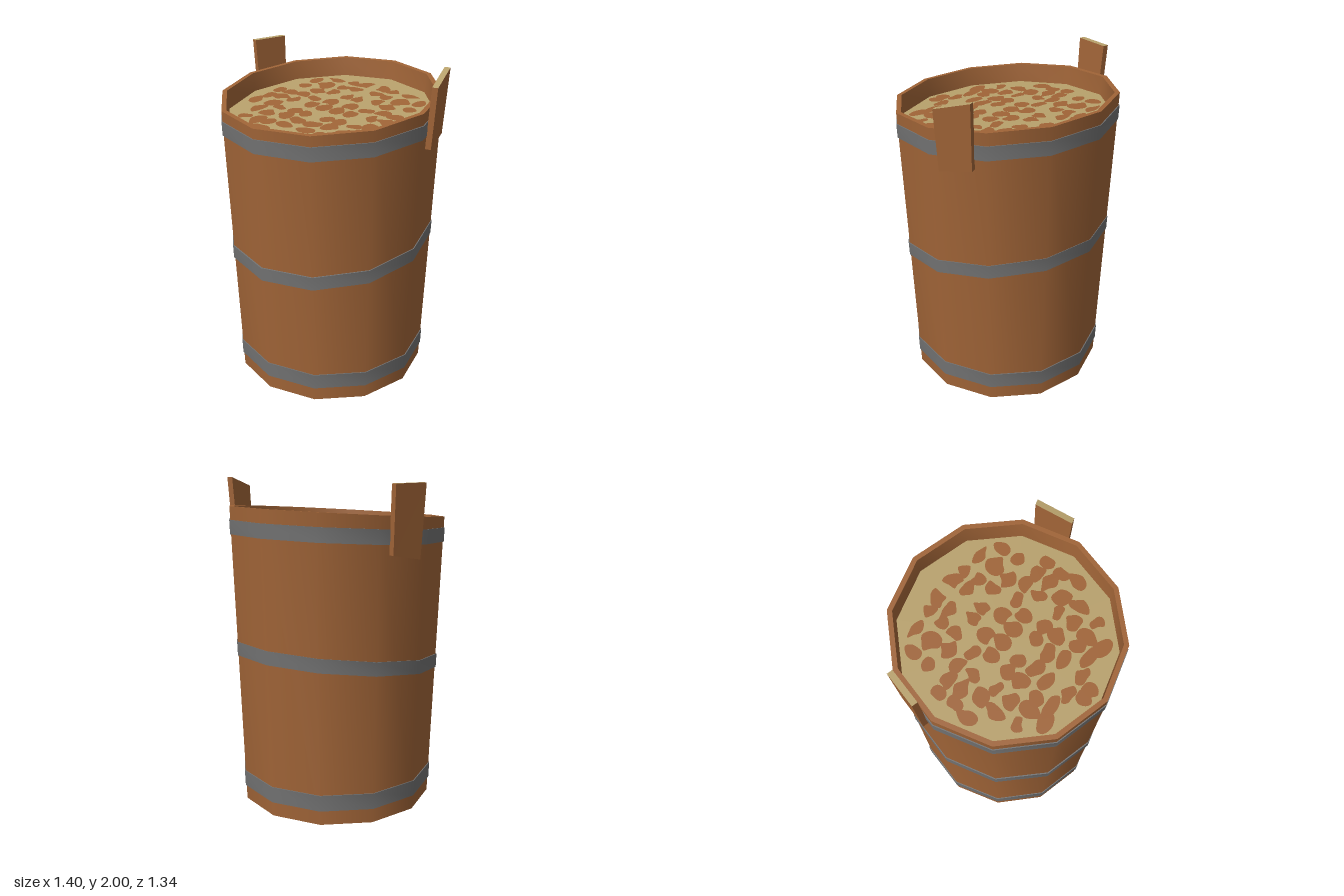
import * as THREE from 'three';
import { mergeGeometries, toCreasedNormals } from 'three/addons/utils/BufferGeometryUtils.js';

const SIDES = 12;
const RIM_TILT = 0.08;

function material(name, color) {
  const m = new THREE.MeshStandardMaterial({ color });
  m.name = name;
  return m;
}

function addMesh(parent, name, geometry, mat) {
  const mesh = new THREE.Mesh(geometry, mat);
  mesh.name = name;
  parent.add(mesh);
  return mesh;
}

// Move vertices above minY so that the back sits higher than the front.
function tilt(geometry, slope, minY = -1) {
  const p = geometry.attributes.position;
  for (let i = 0; i < p.count; i++) {
    if (p.getY(i) > minY) p.setY(i, p.getY(i) - slope * p.getZ(i));
  }
  geometry.computeVertexNormals();
  return geometry;
}

// Twelve-sided turned form: smooth around, sharp at the rims.
function turned(points, slope, minY) {
  const profile = points.map(([r, y]) => new THREE.Vector2(r, y));
  const g = tilt(new THREE.LatheGeometry(profile, SIDES), slope, minY);
  return toCreasedNormals(g, 0.7);
}

const wallRadius = (y) => 0.605 + 0.06 * y / 1.805;

// Hoop following the wall, slightly proud of it.
function hoop(y, height, slope) {
  const y0 = y - height / 2, y1 = y + height / 2, proud = 0.006;
  const r0 = wallRadius(y0), r1 = wallRadius(y1);
  return turned([[r0 - 0.01, y0], [r0 + proud, y0], [r1 + proud, y1], [r1 - 0.01, y1]], slope);
}

// Mirrored irregular blotches spread over the filling.
function blotches() {
  let seed = 7;
  const rand = () => (seed = (seed * 16807) % 2147483647) / 2147483647;
  const parts = [];
  const step = 0.112;
  for (let i = 0; i < 6; i++) {
    for (let j = -5; j <= 5; j++) {
      const cx = (i + 0.5) * step + (rand() - 0.5) * 0.05;
      const cy = j * step + (rand() - 0.5) * 0.05;
      const size = 0.038 + rand() * 0.014;
      const stretch = 0.8 + rand() * 0.5;
      const radii = Array.from({ length: 8 }, () => size * (0.7 + rand() * 0.65));
      if (Math.hypot(cx, cy) > 0.545) continue;
      for (const side of [1, -1]) {
        const ring = radii.map((r, k) => {
          const a = k / 8 * Math.PI * 2;
          return new THREE.Vector3(side * (cx + Math.cos(a) * r * stretch), cy + Math.sin(a) * r / stretch, 0);
        });
        const outline = new THREE.CatmullRomCurve3(ring, true).getPoints(24).slice(0, -1);
        const shape = new THREE.Shape(outline.map((v) => new THREE.Vector2(v.x, v.y)));
        parts.push(new THREE.ShapeGeometry(shape));
      }
    }
  }
  return mergeGeometries(parts).rotateX(-Math.PI / 2).translate(0, 1.693, 0);
}

// Leaning, slightly tapered board; its top is either slanted or level.
function handleBoard(side, topSlope) {
  const g = new THREE.BoxGeometry(1, 1, 1);
  const p = g.attributes.position;
  for (let i = 0; i < p.count; i++) {
    const top = p.getY(i) > 0;
    const outer = p.getX(i) * side > 0;
    const z = Math.sign(p.getZ(i)) * (top ? 0.11 : 0.1);
    const x = (top ? 0.66 : 0.635) + (outer ? 0.035 : 0);
    const y = top ? 2 - topSlope * (z + 0.11) : 1.59 - 0.18 * z;
    p.setXYZ(i, side * x, y, z);
  }
  g.computeVertexNormals();
  return g;
}

export function createModel() {
  const model = new THREE.Group();
  model.name = 'bucket';
  const wood = material('brown wood', 0xa06437);
  const iron = material('grey iron', 0x727272);
  const pale = material('pale tan', 0xb8a16c);

  // Body with base, wall, rim and inner floor
  addMesh(model, 'body', turned([
    [0, 0], [0.605, 0], [0.665, 1.805], [0.636, 1.805], [0.624, 1.65], [0, 1.65],
  ], RIM_TILT, 0.1), wood);

  // Hoops
  addMesh(model, 'lowerHoop', hoop(0.14, 0.1, 0), iron);
  addMesh(model, 'middleHoop', hoop(0.92, 0.085, 0.128), iron);
  addMesh(model, 'upperHoop', hoop(1.692, 0.085, 0.066), iron);

  // Filling, level with the tilted rim
  const disc = new THREE.CircleGeometry(0.628, SIDES).rotateX(-Math.PI / 2).translate(0, 1.69, 0);
  addMesh(model, 'filling', tilt(disc, RIM_TILT), pale);
  addMesh(model, 'fillingBlotches', tilt(blotches(), RIM_TILT), wood);

  // Handle boards, set flat against one facet on each side
  for (const side of [1, -1]) {
    const board = addMesh(model, side > 0 ? 'leftHandle' : 'rightHandle',
      handleBoard(side, side > 0 ? 0.28 : 0), [wood, wood, pale, wood, wood, wood]);
    board.rotation.y = side * Math.PI / SIDES;
  }
  return model;
}
